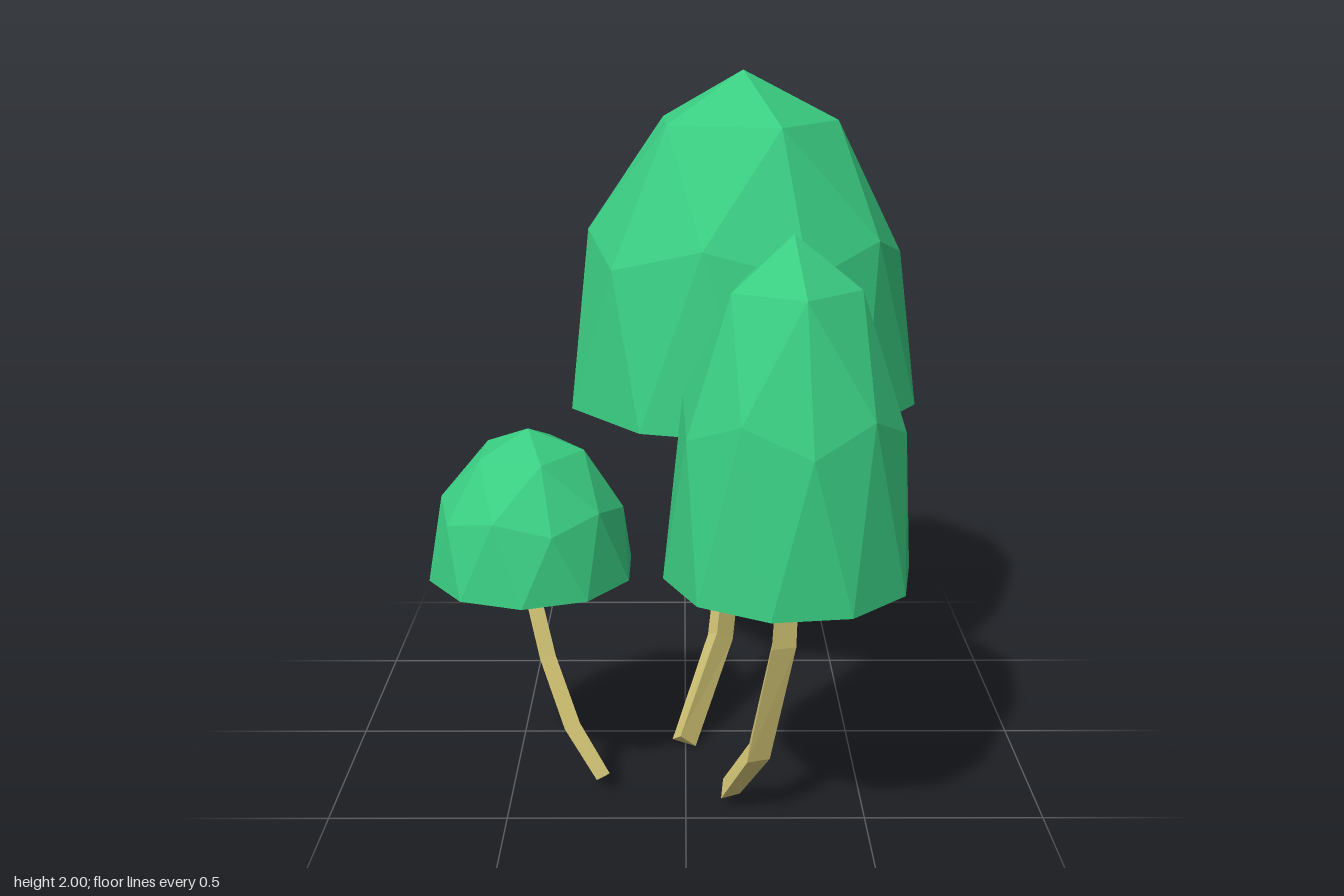
import * as THREE from 'three';

const capGreen = new THREE.MeshStandardMaterial({ color: 0x3acd82, name: 'capGreen' });
const stemTan = new THREE.MeshStandardMaterial({ color: 0xd6c877, name: 'stemTan' });
const rad = THREE.MathUtils.degToRad;

// Flat-faced geometry from a list of triangle corners
function facets(corners) {
  const g = new THREE.BufferGeometry().setFromPoints(corners);
  g.computeVertexNormals();
  return g;
}

// Upper half of a once-subdivided icosahedron with a shallow hollow underneath
function capGeometry(radius, height, turn) {
  const at = (polar, azimuth) => {
    const p = rad(polar), a = rad(azimuth + turn);
    return new THREE.Vector3(
      radius * Math.sin(p) * Math.cos(a), height * Math.cos(p), radius * Math.sin(p) * Math.sin(a));
  };
  const top = at(0, 0);
  const hollow = new THREE.Vector3(0, height * 0.09, 0);
  const tris = [];
  for (let a = 0; a < 360; a += 72) {
    const r0 = at(31.72, a), r1 = at(31.72, a + 72);   // upper ring
    const v0 = at(63.43, a), v1 = at(63.43, a + 72);   // main corners
    const m = at(58.28, a + 36);                       // corner midpoints
    const e0 = at(90, a - 18), e1 = at(90, a + 18), e2 = at(90, a + 54); // rim
    tris.push(
      top, r1, r0, r0, r1, m, r0, m, v0, r1, v1, m,
      v0, m, e1, m, e2, e1, m, v1, e2, v0, e1, e0,
      hollow, e0, e1, hollow, e1, e2);
  }
  return facets(tris);
}

// Three-sided stem swept along a bent path; each path entry is [x, y, z, radius]
function stemGeometry(path, turn) {
  const pts = path.map(p => new THREE.Vector3(p[0], p[1], p[2]));
  const rings = pts.map((p, i) => {
    const t = new THREE.Vector3();
    if (i > 0) t.add(p.clone().sub(pts[i - 1]).normalize());
    if (i < pts.length - 1) t.add(pts[i + 1].clone().sub(p).normalize());
    t.normalize();
    const u = new THREE.Vector3(1, 0, 0).addScaledVector(t, -t.x).normalize();
    const v = u.clone().cross(t);
    return [0, 120, 240].map(d => p.clone()
      .addScaledVector(u, path[i][3] * Math.cos(rad(d + turn)))
      .addScaledVector(v, path[i][3] * Math.sin(rad(d + turn))));
  });
  const tris = [...rings[0]];
  for (let i = 0; i < rings.length - 1; i++) {
    for (let k = 0; k < 3; k++) {
      const n = (k + 1) % 3;
      const a = rings[i][k], b = rings[i][n], c = rings[i + 1][k], d = rings[i + 1][n];
      tris.push(a, c, b, b, c, d);
    }
  }
  const end = rings[rings.length - 1];
  tris.push(end[0], end[2], end[1]);
  return facets(tris);
}

const mushrooms = [
  {
    name: 'largeMushroom', cap: [0.172, 1.01, -0.343], radius: 0.55, height: 0.99, turn: -2.4, stemTurn: 100,
    stem: [[-0.008, 0.023, 0.097, 0.044], [0.107, 0.27, -0.127, 0.047], [0.16, 0.68, -0.3, 0.046],
      [0.17, 0.89, -0.34, 0.044], [0.172, 1.12, -0.343, 0.028]],
  },
  {
    name: 'mediumMushroom', cap: [0.264, 0.77, 0.565], radius: 0.326, height: 0.885, turn: 10.8, stemTurn: 7,
    stem: [[0.12, 0.043, 0.42, 0.036], [0.19, 0.22, 0.535, 0.041], [0.25, 0.565, 0.57, 0.042],
      [0.262, 0.87, 0.565, 0.036]],
  },
  {
    name: 'smallMushroom', cap: [-0.43, 0.67, 0.292], radius: 0.288, height: 0.41, turn: 0, stemTurn: 35,
    stem: [[-0.236, 0.056, 0.358, 0.025], [-0.323, 0.205, 0.333, 0.028], [-0.39, 0.41, 0.308, 0.027],
      [-0.43, 0.6, 0.29, 0.026], [-0.427, 0.715, 0.29, 0.014]],
  },
];

export function createModel() {
  const model = new THREE.Group();
  model.name = 'mushroomCluster';
  for (const s of mushrooms) {
    const group = new THREE.Group();
    group.name = s.name;
    const cap = new THREE.Mesh(capGeometry(s.radius, s.height, s.turn), capGreen);
    cap.name = 'cap';
    cap.position.set(...s.cap);
    const stem = new THREE.Mesh(stemGeometry(s.stem, s.stemTurn), stemTan);
    stem.name = 'stem';
    group.add(cap, stem);
    model.add(group);
  }
  return model;
}
